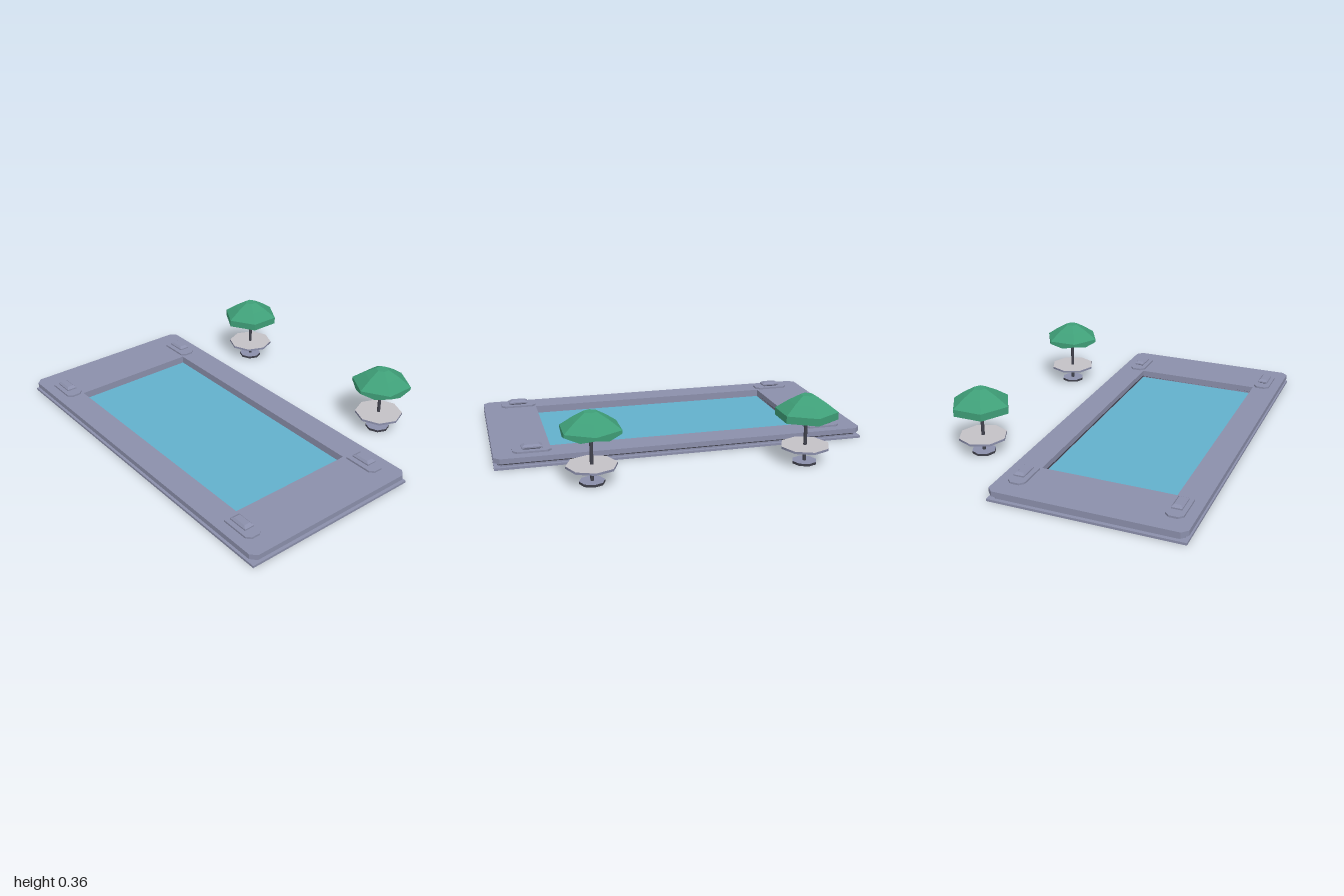
import * as THREE from 'three';

const mat = (name, color, side = THREE.FrontSide) => {
  const m = new THREE.MeshStandardMaterial({ color, side });
  m.name = name;
  return m;
};

// Rectangle outline with cut corners
function cutRect(w, d, c, Type = THREE.Shape) {
  const x = w / 2, y = d / 2;
  const pts = [[-x + c, -y], [x - c, -y], [x, -y + c], [x, y - c], [x - c, y], [-x + c, y], [-x, y - c], [-x, -y + c]];
  return new Type(pts.map(([a, b]) => new THREE.Vector2(a, b)));
}

// Flat plate from y0 to y1
function plate(shape, y0, y1) {
  const g = new THREE.ExtrudeGeometry(shape, { depth: y1 - y0, bevelEnabled: false });
  g.rotateX(-Math.PI / 2);
  g.translate(0, y0, 0);
  return g;
}

// Rings of points joined into flat-shaded faces, bottom to top
function loft(rings, capTop, capBottom) {
  const pos = [];
  const tri = (a, b, c) => pos.push(...a, ...b, ...c);
  const n = rings[0].length;
  for (let r = 0; r < rings.length - 1; r++) {
    for (let i = 0; i < n; i++) {
      const j = (i + 1) % n, a = rings[r], b = rings[r + 1];
      tri(a[i], b[j], a[j]);
      tri(a[i], b[i], b[j]);
    }
  }
  const top = rings[rings.length - 1], bottom = rings[0];
  for (let i = 1; i < n - 1; i++) {
    if (capTop) tri(top[0], top[i + 1], top[i]);
    if (capBottom) tri(bottom[0], bottom[i], bottom[i + 1]);
  }
  const g = new THREE.BufferGeometry();
  g.setAttribute('position', new THREE.Float32BufferAttribute(pos, 3));
  g.computeVertexNormals();
  return g;
}

export function createModel() {
  const model = new THREE.Group();
  const stone = mat('greyStone', 0x8b8fab);
  const water = mat('poolWater', 0x63b0cc);
  const green = mat('canopyGreen', 0x3f9f78, THREE.DoubleSide);
  const dark = mat('darkMetal', 0x41424d);
  const white = mat('tableWhite', 0xc4c1c6);

  const add = (parent, name, geometry, material, x = 0, y = 0, z = 0) => {
    const m = new THREE.Mesh(geometry, material);
    m.name = name;
    m.position.set(x, y, z);
    parent.add(m);
    return m;
  };

  // Pool: base slab, recessed neck, dark joint and overhanging deck
  const pool = new THREE.Group();
  pool.name = 'pool';
  pool.position.z = 0.215;
  model.add(pool);
  const frame = (w, d, c) => {
    const s = cutRect(w, d, c);
    s.holes.push(new THREE.Path([[-0.7, -0.353], [-0.7, 0.353], [0.7, 0.353], [0.7, -0.353]].map((p) => new THREE.Vector2(...p))));
    return s;
  };
  add(pool, 'baseSlab', new THREE.BoxGeometry(2, 0.012, 1), stone, 0, 0.006, 0);
  add(pool, 'neck', plate(frame(1.96, 0.96, 0.02), 0.012, 0.034), stone);
  add(pool, 'joint', plate(frame(1.966, 0.966, 0.02), 0.021, 0.029), dark);
  add(pool, 'deck', plate(frame(2, 1, 0.03), 0.032, 0.059), stone);
  add(pool, 'water', new THREE.BoxGeometry(1.4, 0.006, 0.706), water, 0, 0.015, 0);

  // Corner pads, each with a small faceted block
  const rect = (w, d, y) => [[w, y, d], [w, y, -d], [-w, y, -d], [-w, y, d]].reverse();
  const padGeo = plate(cutRect(0.2, 0.09, 0.022), 0.059, 0.069);
  const blockGeo = loft([rect(0.038, 0.016, 0.069), rect(0.054, 0.027, 0.078),
    rect(0.054, 0.027, 0.085), rect(0.037, 0.017, 0.095)], true, false);
  for (const x of [-0.8, 0.8]) {
    for (const z of [-0.4, 0.4]) {
      add(pool, 'cornerPad', padGeo, stone, x, 0, z);
      add(pool, 'cornerBlock', blockGeo, stone, x, 0, z);
    }
  }

  // Hexagonal canopy ring with twelve points, corners along z
  const hexRing = (r, yCorner, yMid = yCorner) => Array.from({ length: 12 }, (_, i) => {
    const a = (i * Math.PI) / 6;
    const rr = i % 2 ? r * Math.cos(Math.PI / 6) : r;
    return [rr * Math.sin(a), i % 2 ? yMid : yCorner, rr * Math.cos(a)];
  }).reverse();

  // Parasol tables behind the pool; the left one has a zigzag valance
  for (const side of [-1, 1]) {
    const parasol = new THREE.Group();
    parasol.name = side > 0 ? 'leftParasol' : 'rightParasol';
    parasol.position.set(side * 0.55, 0, -0.56);
    model.add(parasol);
    const hem = side > 0 ? hexRing(0.16, 0.267, 0.247) : hexRing(0.16, 0.245);
    add(parasol, 'canopy', loft([hem, hexRing(0.16, 0.283), hexRing(0.095, 0.328),
      hexRing(0.034, 0.363)], true, false), green);
    add(parasol, 'pole', new THREE.CylinderGeometry(0.009, 0.009, 0.34, 10), dark, 0, 0.175, 0);
    add(parasol, 'tableTop', new THREE.CylinderGeometry(0.128, 0.128, 0.012, 8), [stone, white, dark], 0, 0.091, 0)
      .geometry.computeVertexNormals();
    add(parasol, 'foot', new THREE.CylinderGeometry(0.064, 0.064, 0.013, 8), [dark, stone, dark], 0, 0.0065, 0);
  }
  return model;
}
